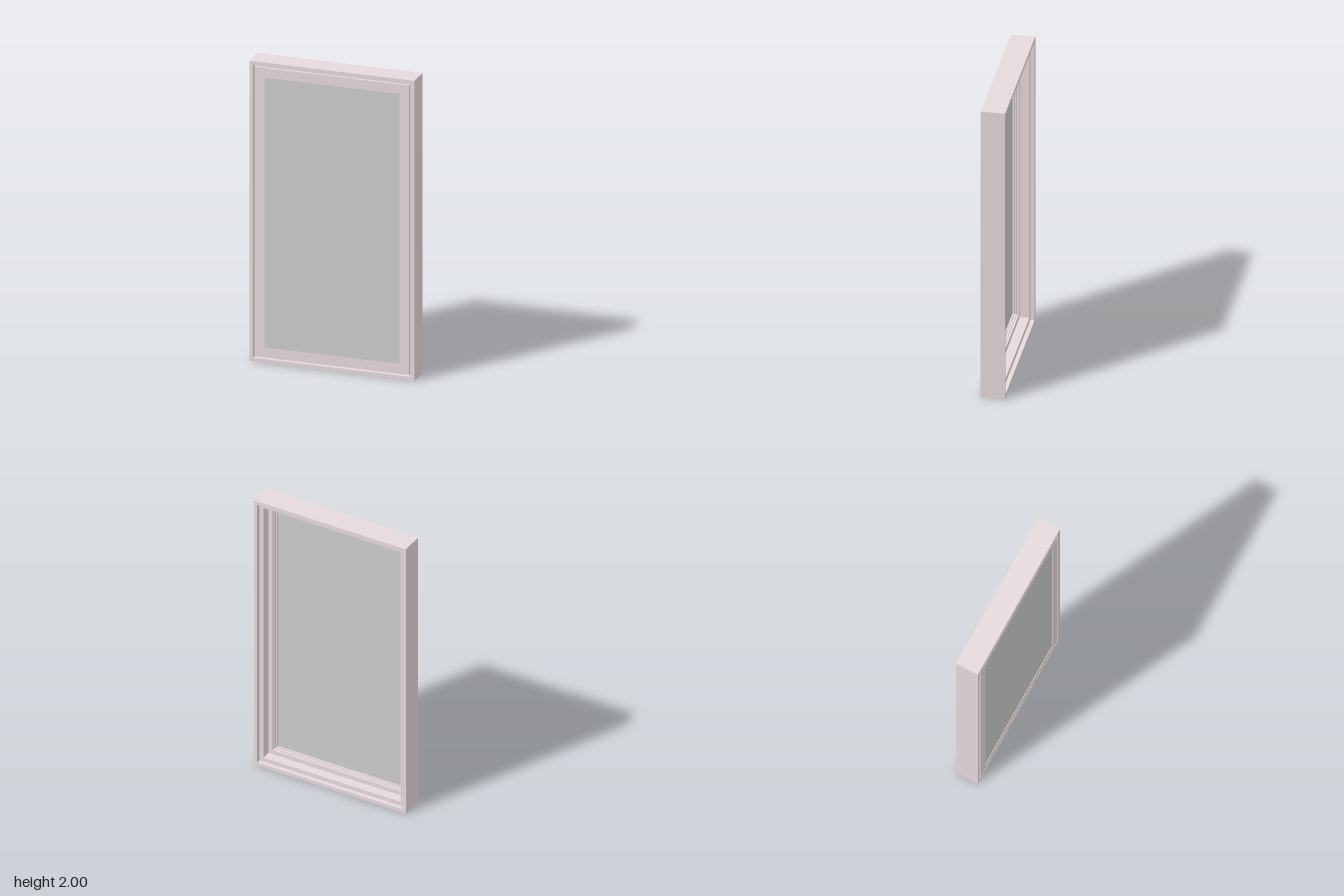
import * as THREE from 'three';

const W = 1.1, H = 2, D = 0.155;

// Sweeps a closed profile of [inset, z] points round the rectangle with mitred corners.
function mitredRing(name, profile, material) {
  const corners = [[-1, -1], [1, -1], [1, 1], [-1, 1]];
  const point = (c, [inset, z]) => [c[0] * (W / 2 - inset), H / 2 + c[1] * (H / 2 - inset), z];
  const positions = [];
  for (let i = 0; i < 4; i++) {
    const c0 = corners[i], c1 = corners[(i + 1) % 4];
    for (let j = 0; j < profile.length; j++) {
      const p = profile[j], q = profile[(j + 1) % profile.length];
      const a = point(c0, p), b = point(c1, p), c = point(c1, q), d = point(c0, q);
      positions.push(...a, ...d, ...c, ...a, ...c, ...b);
    }
  }
  const geometry = new THREE.BufferGeometry();
  geometry.setAttribute('position', new THREE.Float32BufferAttribute(positions, 3));
  geometry.computeVertexNormals();
  const mesh = new THREE.Mesh(geometry, material);
  mesh.name = name;
  return mesh;
}

export function createModel() {
  const group = new THREE.Group();
  group.name = 'window';
  const paint = new THREE.MeshStandardMaterial({ color: 0xe6d9dd });
  const grey = new THREE.MeshStandardMaterial({ color: 0xcccccc });
  const f = D / 2;

  // Fixed outer frame: thin rim at the back, then a stop the sash closes against
  group.add(mitredRing('outerFrame', [
    [0, f], [0, -f], [0.025, -f], [0.025, -0.05], [0.055, -0.05],
    [0.055, 0.012], [0.025, 0.012], [0.025, f],
  ], paint));

  // Opening sash, flush with the front, with stepped glazing rebates behind
  group.add(mitredRing('sash', [
    [0.036, f], [0.036, 0.06], [0.031, 0.06], [0.031, 0.012], [0.085, 0.012],
    [0.085, 0.025], [0.092, 0.025], [0.092, 0.04], [0.1, 0.04], [0.1, f],
  ], paint));

  // Glass pane held in the sash
  const glass = new THREE.Mesh(new THREE.BoxGeometry(W - 0.19, H - 0.19, 0.024), grey);
  glass.name = 'glassPane';
  glass.position.set(0, H / 2, 0.062);
  group.add(glass);

  return group;
}
